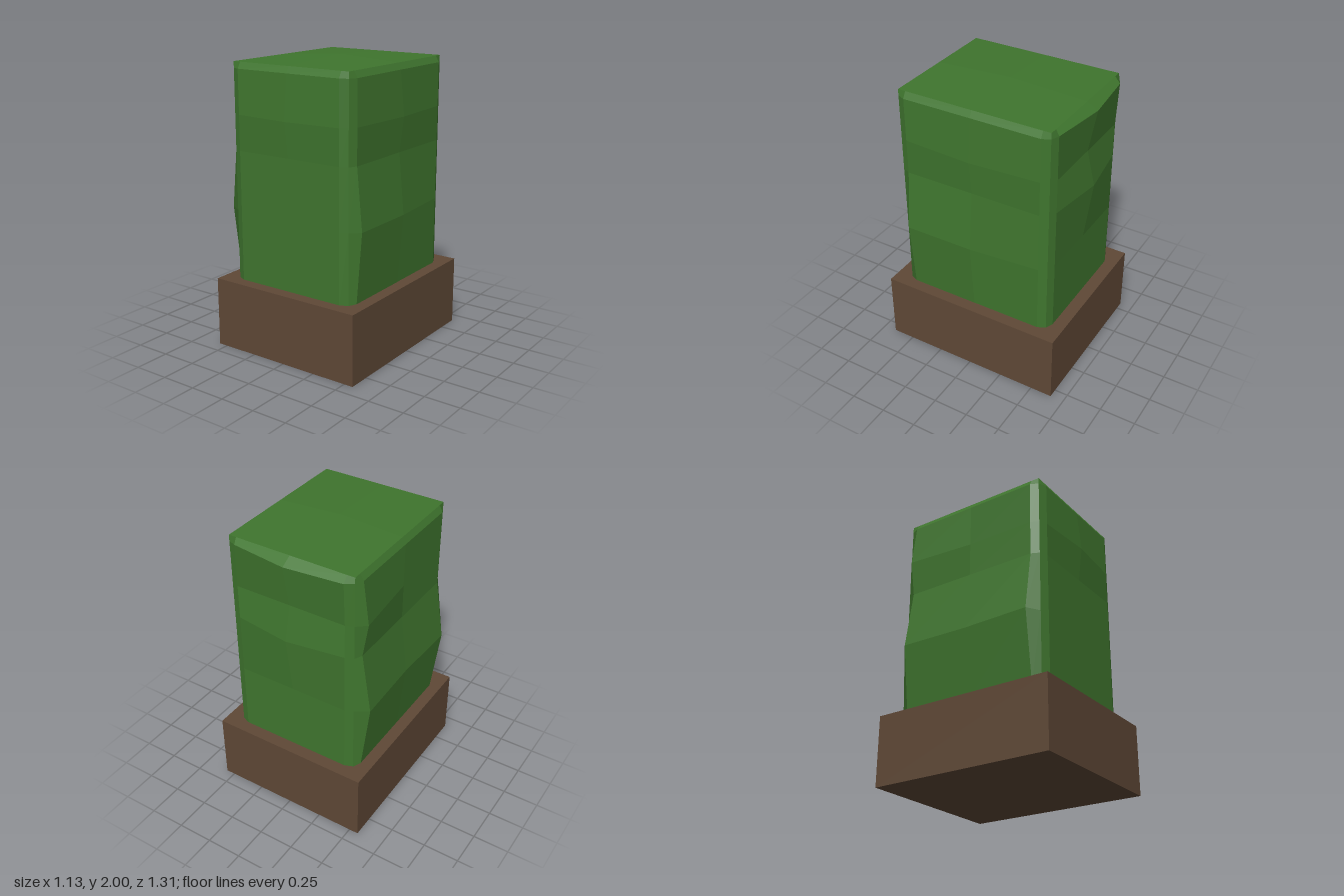
import * as THREE from 'three';

// Plan outline of the clipped hedge: three points per side plus chamfered corners
const ring = [
  [-0.4, 0.57], [0, 0.57], [0.4, 0.57], [0.455, 0.545],
  [0.48, 0.49], [0.48, 0], [0.48, -0.49], [0.455, -0.545],
  [0.4, -0.567], [0, -0.567], [-0.4, -0.567], [-0.455, -0.545],
  [-0.48, -0.49], [-0.48, 0], [-0.48, 0.49], [-0.455, 0.545],
];

// Levels from bottom to top, with outward bulges by ring index
const levels = [
  { y: 0.47, bulge: {} },
  { y: 0.97, bulge: { 4: 0.04, 5: 0.04, 12: 0.065, 13: 0.05, 14: 0.065 } },
  { y: 1.39, bulge: { 9: 0.058 } },
  { y: 1.63, bulge: { 1: 0.03, 5: 0.03, 12: 0.04 } },
  { y: 1.93, bulge: { 9: 0.055, 10: 0.015 } },
];

function levelPoints({ y, bulge }) {
  return ring.map(([x, z], i) => {
    const d = bulge[i] || 0;
    const side = Math.floor(i / 4); // front, right, back, left
    const dx = side === 1 ? d : side === 3 ? -d : 0;
    const dz = side === 0 ? d : side === 2 ? -d : 0;
    return new THREE.Vector3(x + dx, y, z + dz);
  });
}

function hedgeGeometry() {
  const pos = [], norm = [];
  // One flat normal for each four-sided face
  const quad = (a, b, c, d) => {
    const n = c.clone().sub(a).cross(d.clone().sub(b)).normalize();
    for (const p of [a, b, c, a, c, d]) {
      pos.push(p.x, p.y, p.z);
      norm.push(n.x, n.y, n.z);
    }
  };
  const rows = levels.map(levelPoints);
  // Trimmed top edge, squared off at the corners
  rows.push(ring.map(([x, z]) => new THREE.Vector3(
    THREE.MathUtils.clamp(x, -0.455, 0.455), 1.973, THREE.MathUtils.clamp(z, -0.545, 0.545))));
  const count = ring.length;
  for (let r = 0; r < rows.length - 1; r++) {
    for (let i = 0; i < count; i++) {
      const j = (i + 1) % count;
      quad(rows[r][i], rows[r][j], rows[r + 1][j], rows[r + 1][i]);
    }
  }
  // Slightly domed top: four quarters meeting at the peak
  const top = rows[rows.length - 1];
  const peak = new THREE.Vector3(0, 2, 0);
  for (let k = 0; k < 4; k++) {
    quad(peak, top[1 + 4 * k], top[3 + 4 * k], top[(5 + 4 * k) % count]);
  }
  const geometry = new THREE.BufferGeometry();
  geometry.setAttribute('position', new THREE.Float32BufferAttribute(pos, 3));
  geometry.setAttribute('normal', new THREE.Float32BufferAttribute(norm, 3));
  return geometry;
}

export function createModel() {
  const leaf = new THREE.MeshStandardMaterial({ color: 0x3f752e });
  leaf.name = 'leaf green';
  const wood = new THREE.MeshStandardMaterial({ color: 0x5f4836 });
  wood.name = 'planter brown';

  const model = new THREE.Group();
  model.name = 'hedgePlanter';

  // Planter box
  const planter = new THREE.Mesh(new THREE.BoxGeometry(1.13, 0.487, 1.31), wood);
  planter.name = 'planter';
  planter.position.y = 0.2435;
  model.add(planter);

  // Clipped hedge
  const hedge = new THREE.Mesh(hedgeGeometry(), leaf);
  hedge.name = 'hedge';
  model.add(hedge);

  return model;
}
